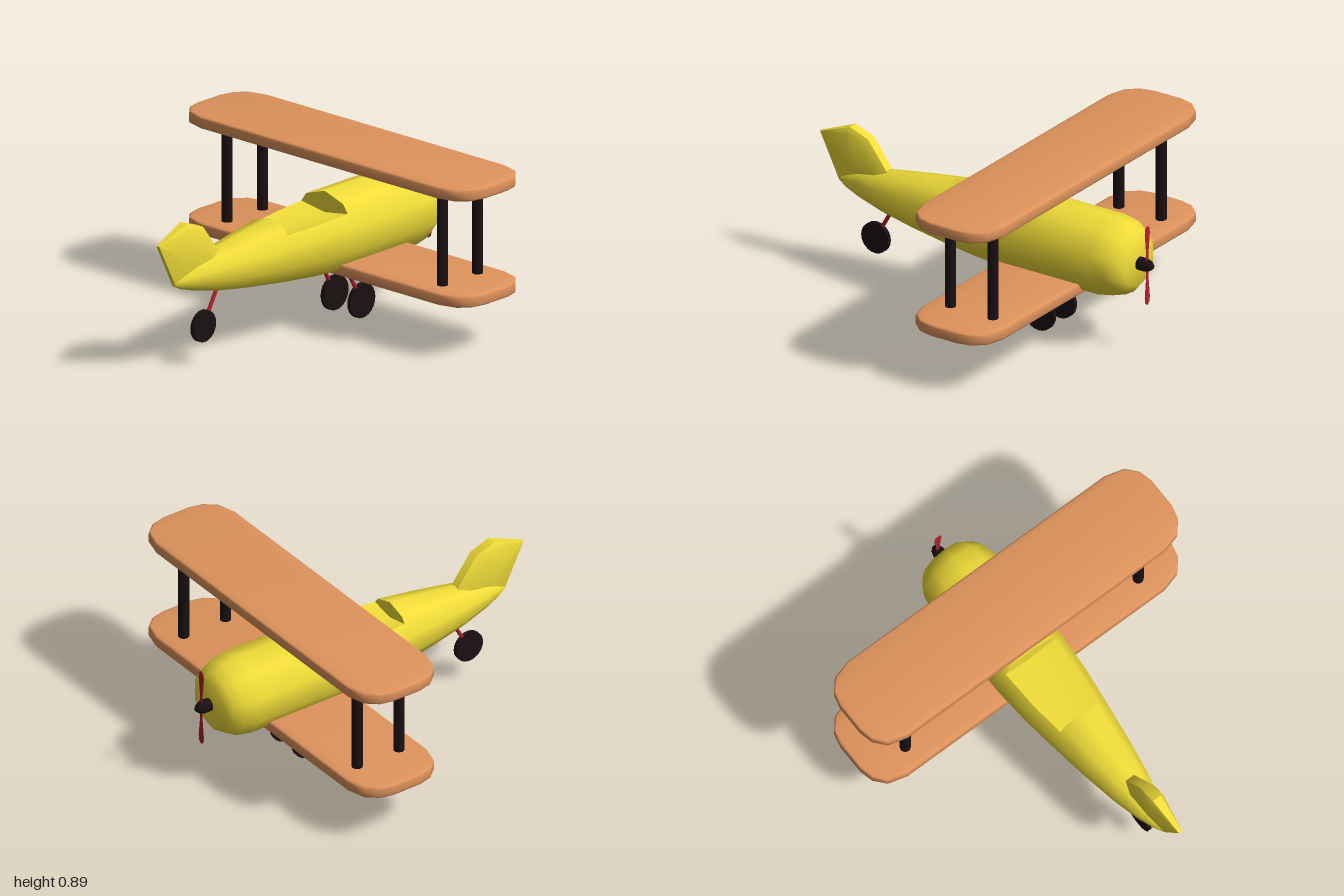
import * as THREE from 'three';
import { toCreasedNormals } from 'three/addons/utils/BufferGeometryUtils.js';
import { ConvexGeometry } from 'three/addons/geometries/ConvexGeometry.js';

const paint = (color) => new THREE.MeshStandardMaterial({ color });
const yellow = paint(0xf0dc38);
const orange = paint(0xdf935c);
const black = paint(0x1a1012);
const red = paint(0xb0202a);

const SIDES = 10;

// Ten-sided fuselage ring; a cockpit rim height cuts the upper corners flat
function ring([z, cy, r, rim]) {
  const pts = [];
  for (let i = 0; i < SIDES; i++) {
    const a = (i / SIDES) * Math.PI * 2;
    pts.push([Math.sin(a) * r, cy + Math.cos(a) * r, z]);
  }
  if (rim) {
    for (const [upper, lower] of [[1, 2], [9, 8]]) {
      const p = pts[upper], q = pts[lower];
      const t = (rim - q[1]) / (p[1] - q[1]);
      pts[upper] = [q[0] + (p[0] - q[0]) * t, rim, z];
    }
    pts[0][1] = rim - 0.025;
  }
  return pts;
}

function loft(stations) {
  const index = [];
  for (let s = 0; s < stations.length - 1; s++) {
    for (let i = 0; i < SIDES; i++) {
      const a = s * SIDES + i, b = s * SIDES + ((i + 1) % SIDES);
      index.push(a, a + SIDES, b, b, a + SIDES, b + SIDES);
    }
  }
  const geo = new THREE.BufferGeometry();
  geo.setAttribute('position', new THREE.Float32BufferAttribute(stations.flatMap(ring).flat(), 3));
  geo.setIndex(index);
  return toCreasedNormals(geo, 0.72);
}

// Flat wing with clipped round tips, lying on height y
function wingGeometry() {
  const b = 0.01;
  const corner = [[0.8, 0.2425], [0.9, 0.215], [0.952, 0.155], [0.97, 0.08]];
  const half = [...corner, ...corner.map(([x, z]) => [x, -z]).reverse()];
  const outline = [...half, ...half.map(([x, z]) => [-x, -z])];
  const shape = new THREE.Shape(outline.map(([x, z]) => new THREE.Vector2(x, z)).reverse());
  const geo = new THREE.ExtrudeGeometry(shape, {
    depth: 0.062 - 2 * b, bevelThickness: b, bevelSize: b, bevelOffset: -b, bevelSegments: 2,
  });
  geo.rotateX(-Math.PI / 2).translate(0, b, 0);
  return toCreasedNormals(geo, 0.9);
}

export function createModel() {
  const model = new THREE.Group();

  function add(name, geo, mat, x = 0, y = 0, z = 0) {
    const mesh = new THREE.Mesh(geo, mat);
    mesh.name = name;
    mesh.position.set(x, y, z);
    model.add(mesh);
    return mesh;
  }

  // Round rod between two points
  function rod(name, from, to, radius, mat) {
    const a = new THREE.Vector3(...from), b = new THREE.Vector3(...to);
    const dir = b.clone().sub(a);
    const mesh = add(name, new THREE.CylinderGeometry(radius, radius, dir.length(), 12), mat);
    mesh.position.copy(a).add(b).multiplyScalar(0.5);
    mesh.quaternion.setFromUnitVectors(new THREE.Vector3(0, 1, 0), dir.normalize());
  }

  // Fuselage stations: z, centre height, radius, cockpit rim height
  add('fuselage', loft([
    [-0.915, 0.47, 0], [-0.915, 0.47, 0.125], [-0.885, 0.47, 0.165],
    [-0.835, 0.47, 0.195], [-0.75, 0.47, 0.211], [-0.21, 0.47, 0.211],
    [-0.21, 0.47, 0.211, 0.595], [0, 0.47, 0.196, 0.585], [0.19, 0.467, 0.172, 0.575],
    [0.19, 0.467, 0.172], [0.4, 0.467, 0.143], [0.59, 0.469, 0.111],
    [0.75, 0.472, 0.073], [0.83, 0.467, 0.042], [0.885, 0.465, 0.014], [0.885, 0.465, 0],
  ]), yellow);

  // Tail fin: y, z and half thickness, widest along the middle
  const fin = [
    [0.48, 0.6, 0.03], [0.58, 0.59, 0.025], [0.725, 0.7, 0.025], [0.765, 0.81, 0.025],
    [0.69, 1.0, 0.01], [0.46, 0.885, 0.012],
    [0.56, 0.66, 0.048], [0.7, 0.74, 0.046], [0.74, 0.81, 0.04], [0.56, 0.8, 0.046],
  ];
  const finPoints = fin.flatMap(([y, z, w]) => [-w, w].map((x) => new THREE.Vector3(x, y, z)));
  add('tailFin', toCreasedNormals(new ConvexGeometry(finPoints), 0.6), yellow);

  // Two wings and the posts between them
  const wing = wingGeometry();
  add('lowerWing', wing, orange, 0, 0.277, -0.4125);
  add('upperWing', wing, orange, 0, 0.83, -0.4125);
  for (const x of [-0.725, 0.725]) {
    for (const z of [-0.285, -0.54]) {
      rod('wingStrut', [x, 0.31, z], [x, 0.85, z], 0.028, black);
    }
  }

  // Propeller hub and two blades
  const hubProfile = [[0, 0], [0.034, 0], [0.034, 0.045], [0.026, 0.07], [0.012, 0.087], [0, 0.09]];
  const hub = new THREE.LatheGeometry(hubProfile.map(([r, h]) => new THREE.Vector2(r, h)), 16);
  add('propellerHub', hub.rotateX(-Math.PI / 2), black, 0, 0.465, -0.91);
  for (const side of [-1, 1]) {
    const profile = [[0, 0], [0.01, 0], [0.012, 0.08], [0.022, 0.17], [0.019, 0.2], [0, 0.215]];
    const blade = new THREE.LatheGeometry(profile.map(([r, h]) => new THREE.Vector2(r, h)), 12);
    const mesh = add('propellerBlade', blade, red, 0, 0.465, -0.963);
    mesh.scale.z = 0.18;
    mesh.rotation.z = side < 0 ? Math.PI : 0;
  }

  // Wheels on slanted legs
  function wheel(name, x, y, z, radius) {
    const tyre = new THREE.CylinderGeometry(radius, radius, 0.022, 24).rotateZ(Math.PI / 2);
    add(name, tyre, black, x, y, z);
  }
  for (const x of [-0.09, 0.09]) {
    wheel('mainWheel', x, 0.09, -0.38, 0.09);
    rod('mainLeg', [x, 0.31, -0.255], [x, 0.09, -0.38], 0.01, red);
  }
  wheel('tailWheel', 0, 0.195, 0.67, 0.082);
  rod('tailLeg', [0, 0.38, 0.565], [0, 0.195, 0.67], 0.01, red);

  return model;
}
